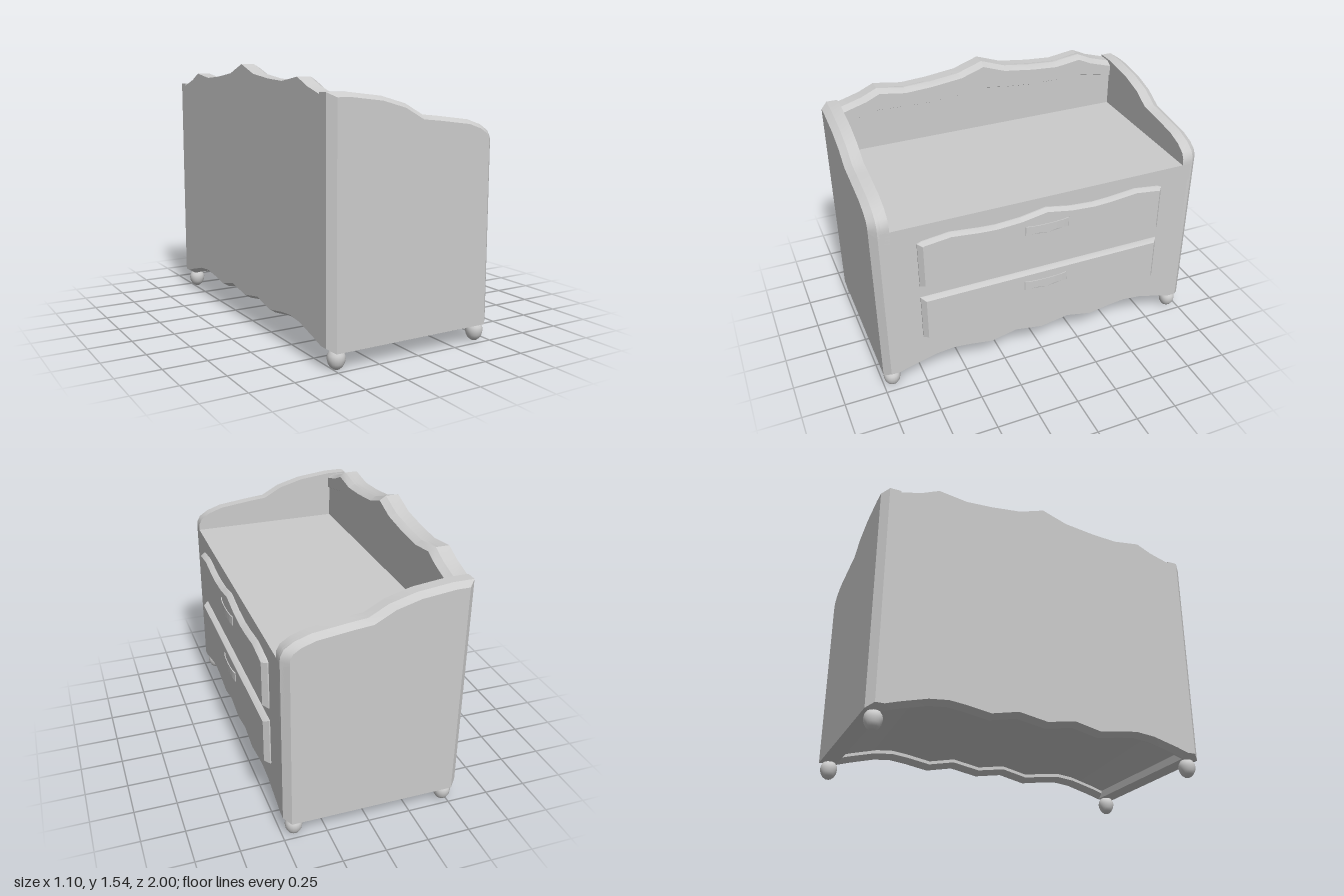
import * as THREE from 'three';
import { toCreasedNormals } from 'three/addons/utils/BufferGeometryUtils.js';

const material = new THREE.MeshStandardMaterial({ color: 0xcccccc });
const bothSides = new THREE.MeshStandardMaterial({ color: 0xcccccc, side: THREE.DoubleSide });

// Chamfers are this much lower than they are wide
const LOW = 0.6;

// Slab between two depths; t and s are the depth and inset of its chamfer
function slab(points, start, end, t = 0, s = 0) {
  const shape = new THREE.Shape(points.map(([x, y]) => new THREE.Vector2(x, y / LOW)));
  const geometry = new THREE.ExtrudeGeometry(shape, {
    depth: end - start - 2 * t, bevelEnabled: t > 0, bevelThickness: t,
    bevelSize: s, bevelOffset: -s, bevelSegments: 1,
  });
  return toCreasedNormals(geometry.scale(1, LOW, 1).translate(0, 0, start + t), 0.5);
}

// Same slab, drawn in the z-y plane and running along x
const slabX = (...args) => slab(...args).rotateY(Math.PI / 2);

// Wave given from the outer edge to the middle, mirrored to the other side
const mirror = (half) => [
  ...half.map(([z, y]) => [-z, y]),
  ...half.slice(0, -1).reverse(),
];

export function createModel() {
  const group = new THREE.Group();
  const add = (name, geometry, mat = material) => {
    const mesh = new THREE.Mesh(geometry, mat);
    mesh.name = name;
    group.add(mesh);
    return mesh;
  };

  // Front and back panels with scalloped lower edges and chamfers
  const wave = [[0.9, 0.1], [0.82, 0.125], [0.67, 0.165], [0.57, 0.175],
    [0.48, 0.165], [0.33, 0.14], [0.17, 0.175], [0, 0.145]];
  const panel = [...mirror([[1, 0.1], ...wave]), [1, 1.11], [-1, 1.11]];
  add('frontPanel', slabX(panel, 0.405, 0.495, 0.04, 0.04));
  add('backPanel', slabX(panel, -0.55, -0.46, 0.04, 0.04));

  // Core between them, its underside recessed behind the scallops
  const floor = mirror([[1, 0.1], [0.9, 0.1], ...wave.map(([z, y]) => [z, y + 0.045])]);
  add('carcass', slabX([...floor, [1, 1.08], [-1, 1.08]], -0.51, 0.455));

  // Flat top surface
  add('topDeck', new THREE.BoxGeometry(0.995, 0.11, 1.9).translate(-0.0025, 1.055, 0));

  // Curved upper side panels, chamfered on the outside
  const sideCurve = [[0.495, 1.12], [0.492, 1.15], [0.473, 1.185], [0.42, 1.22], [0.33, 1.25],
    [0.13, 1.275], [0.03, 1.285], [-0.08, 1.345], [-0.23, 1.387], [-0.43, 1.41], [-0.55, 1.41]];
  const sideProfile = (bottom) => [[-0.55, bottom], [0.495, bottom], ...sideCurve];
  for (const side of [1, -1]) {
    const name = side > 0 ? 'leftSide' : 'rightSide';
    const range = (a, b) => (side > 0 ? [a, b] : [-b, -a]);
    add(name + 'Outer', slab(sideProfile(0.5), ...range(0.9, 1), 0.04, 0.04));
    add(name + 'Inner', slab(sideProfile(1), ...range(0.895, 0.96)));
  }

  // Backboard with wavy crest, and a slightly proud lip along its top
  const crest = mirror([[0.96, 1.4], [0.89, 1.4], [0.765, 1.437], [0.67, 1.48], [0.5, 1.455],
    [0.34, 1.465], [0.155, 1.488], [0, 1.542]]);
  const lipBottom = mirror([[0.96, 1.285], [0.89, 1.29], [0.765, 1.315], [0.67, 1.335],
    [0.5, 1.328], [0.34, 1.325], [0.155, 1.34], [0, 1.36]]);
  const crestBack = crest.slice().reverse();
  add('backboard', slabX([[-0.96, 0.5], [0.96, 0.5], ...crestBack], -0.55, -0.47));
  add('backboardFace', slabX([[-0.96, 1], [0.96, 1], ...lipBottom.map(([z, y]) => [z, y + 0.06]).reverse()],
    -0.5, -0.44));
  add('backboardLip', slabX([...lipBottom, ...crestBack], -0.53, -0.43, 0.04, 0.035));

  // Drawers: wavy top edge above, wavy bottom edge below
  const upper = mirror([[0.755, 1], [0.73, 1.01], [0.57, 1.03], [0.4, 1.012], [0.3, 1.007],
    [0.16, 1.016], [0, 1.045]]);
  const lower = mirror([[0.755, 0.35], [0.73, 0.342], [0.57, 0.318], [0.4, 0.337], [0.3, 0.342],
    [0.16, 0.333], [0, 0.305]]);
  const drawers = [
    ['upperDrawer', [[-0.755, 0.715], [0.755, 0.715], ...upper.slice().reverse()], 0.938],
    ['lowerDrawer', [...lower, [0.755, 0.635], [-0.755, 0.635]], 0.553],
  ];

  // Handle: thin bowed strip whose lower edge is gently scalloped
  const bow = mirror([[0.14, 0.526], [0.132, 0.535], [0.1, 0.542], [0.05, 0.546], [0, 0.547]]);
  const inner = bow.map(([z, x]) => [z * 0.97, x - 0.005]).reverse();
  for (const [name, outline, handleY] of drawers) {
    add(name, slabX(outline, 0.45, 0.53, 0.028, 0.025));
    const handle = slab([...inner, ...bow], -0.026, 0.026);
    const p = handle.attributes.position;
    for (let i = 0; i < p.count; i++) {
      const z = p.getX(i), x = p.getY(i), y = p.getZ(i);
      const drop = y < 0 ? 0.006 * Math.cos(z * 45) : 0;
      p.setXYZ(i, x, y - drop + handleY, z);
    }
    handle.computeVertexNormals();
    add(name + 'Handle', handle, bothSides);
  }

  // Ball feet, slightly narrowed towards the floor
  const footProfile = [[0, 0], [0.018, 0.002], [0.034, 0.015], [0.045, 0.035], [0.05, 0.06],
    [0.046, 0.08], [0.035, 0.097], [0.02, 0.107], [0, 0.11]];
  const foot = new THREE.LatheGeometry(footProfile.map(([r, y]) => new THREE.Vector2(r, y)), 20);
  for (const x of [-0.48, 0.43]) {
    for (const z of [-0.945, 0.945]) {
      add(x > 0 ? 'frontFoot' : 'backFoot', foot).position.set(x, 0, z);
    }
  }
  return group;
}
